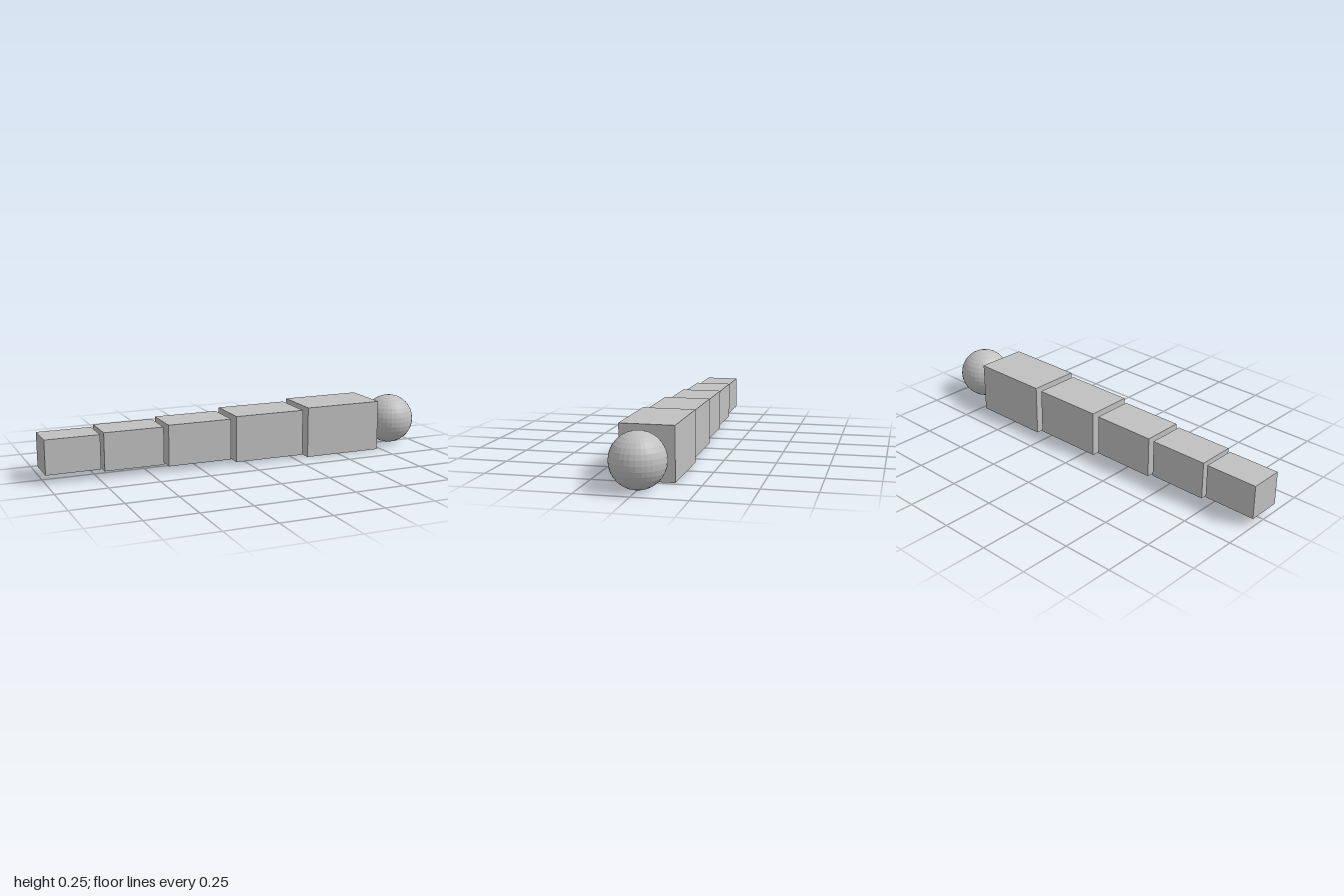
import * as THREE from 'three';

export function createModel() {
  const model = new THREE.Group();
  const grey = new THREE.MeshStandardMaterial({ color: 0xc0c0c0 });
  grey.name = 'grey';
  const axisY = 0.127;

  // Tapering row of square blocks: [start x, end x, thickness]
  const blocks = [
    [-1.0, -0.737, 0.168],
    [-0.722, -0.428, 0.186],
    [-0.406, -0.083, 0.203],
    [-0.06, 0.302, 0.23],
    [0.326, 0.73, 0.254],
  ];
  blocks.forEach(([start, end, size], i) => {
    const block = new THREE.Mesh(new THREE.BoxGeometry(end - start, size, size), grey);
    block.name = `segment${i + 1}`;
    block.position.set((start + end) / 2, axisY, 0);
    model.add(block);
  });

  // Faceted ball at the thick end
  const ballGeometry = new THREE.SphereGeometry(0.127, 32, 16).toNonIndexed();
  ballGeometry.computeVertexNormals();
  const ball = new THREE.Mesh(ballGeometry, grey);
  ball.name = 'endBall';
  ball.position.set(0.873, axisY, 0);
  model.add(ball);

  return model;
}
